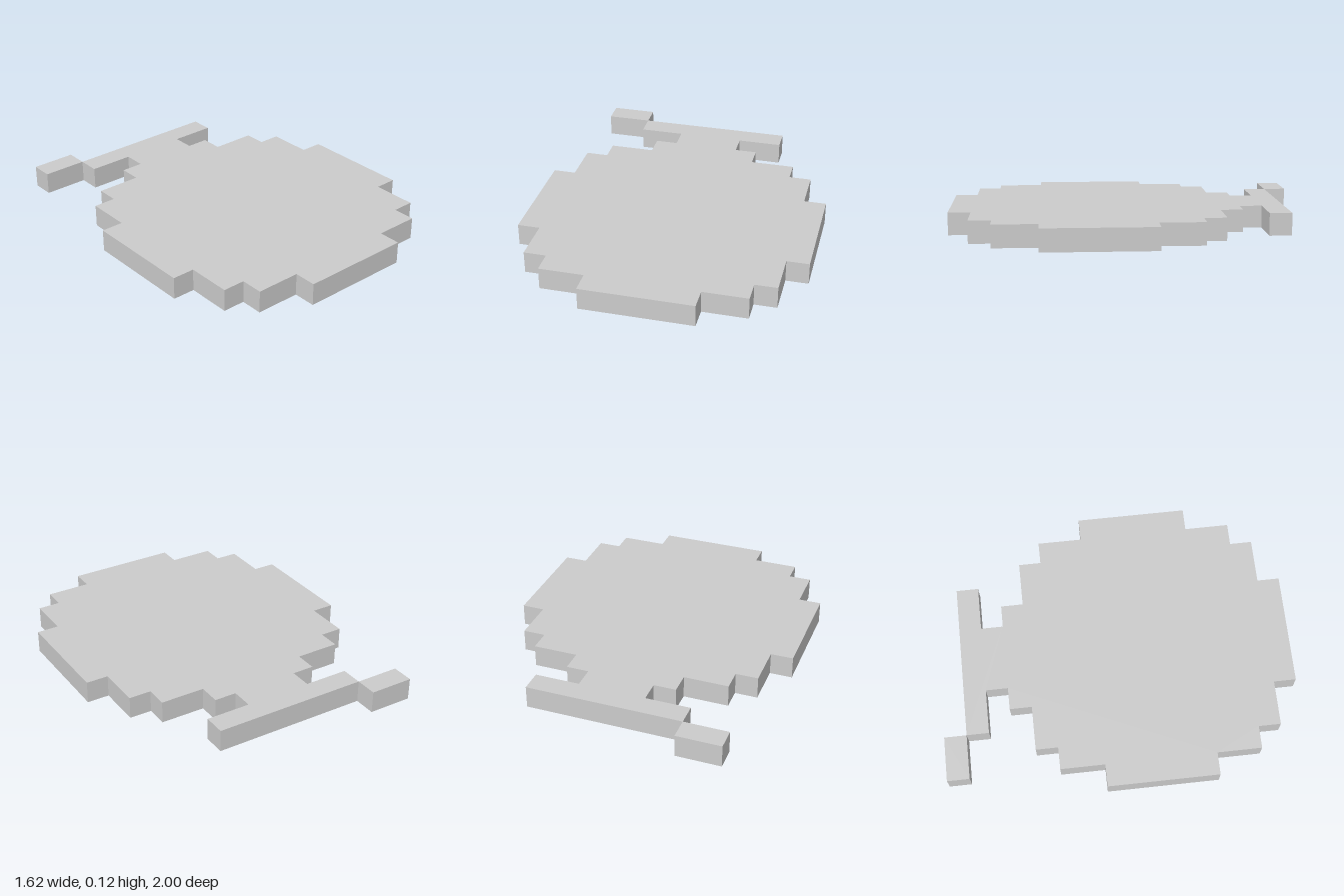
import * as THREE from 'three';

const CELL = 0.125; // size of one pixel block

// Symmetric bands from back to front: [half width in cells, depth in cells]
const BANDS = [
  [3.5, 1], // crossbar
  [1.5, 1], // neck
  [2.5, 1], [4.5, 1], [5.5, 2], // shoulders
  [6.5, 5], // widest part
  [5.5, 2], [4.5, 1], [2.5, 1], // rounded front
];

// Stepped outline, mirrored about x = 0
function steppedShape(bands, startZ) {
  const right = [];
  let z = startZ;
  for (const [half, depth] of bands) {
    right.push([half * CELL, -z]);
    z += depth * CELL;
    right.push([half * CELL, -z]);
  }
  const left = right.map(([x, y]) => [-x, y]).reverse();
  return new THREE.Shape([...right, ...left].map(([x, y]) => new THREE.Vector2(x, y)));
}

export function createModel() {
  const group = new THREE.Group();
  group.name = 'pixelFlask';
  const material = new THREE.MeshStandardMaterial({ color: 0xcccccc, flatShading: true });

  // Round body, neck and crossbar as one flat slab
  const slab = new THREE.ExtrudeGeometry(steppedShape(BANDS, -7 * CELL), {
    depth: CELL,
    bevelEnabled: false,
  });
  slab.rotateX(-Math.PI / 2);
  const body = new THREE.Mesh(slab, material);
  body.name = 'body';
  group.add(body);

  // Offset tip touching the crossbar's corner
  const tip = new THREE.Mesh(new THREE.BoxGeometry(2 * CELL, CELL, CELL), material);
  tip.name = 'tip';
  tip.position.set(-4.5 * CELL, CELL / 2, -7.5 * CELL);
  group.add(tip);

  return group;
}
